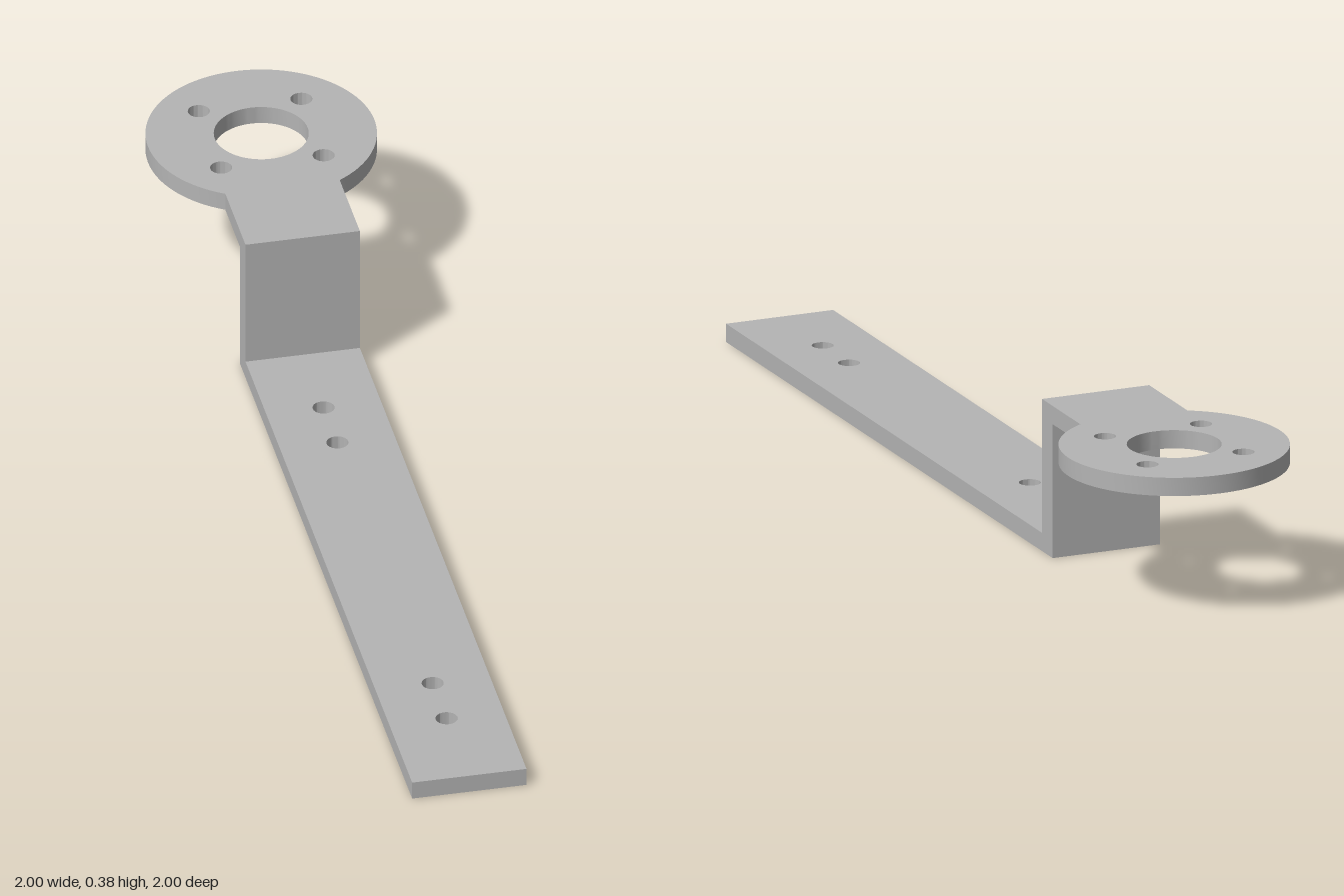
import * as THREE from 'three';
import { toCreasedNormals } from 'three/addons/utils/BufferGeometryUtils.js';

const THICK = 0.045;        // plate thickness
const HALF = 0.138;         // half width of the strip
const TOP = 0.375;          // overall height
const WALL_BACK = -0.631, WALL_FRONT = -0.569;
const STRIP_END = 1.276;
const RING_X = -1.028, RING_R = 0.273;
const BOLT_R = 0.026;

function addHole(shape, x, y, r) {
  const hole = new THREE.Path();
  hole.absarc(x, y, r, 0, Math.PI * 2, true);
  shape.holes.push(hole);
}

// Flat plate lying in the ground plane, its underside at height y
function plate(name, shape, y, material) {
  const geo = new THREE.ExtrudeGeometry(shape, { depth: THICK, bevelEnabled: false, curveSegments: 40 });
  geo.rotateX(-Math.PI / 2);
  geo.translate(0, y, 0);
  const mesh = new THREE.Mesh(toCreasedNormals(geo, 0.5), material);
  mesh.name = name;
  return mesh;
}

export function createModel() {
  const metal = new THREE.MeshStandardMaterial({ color: 0xb4b4b4 });
  metal.name = 'grey metal';

  // Long mounting strip with two pairs of bolt holes
  const strip = new THREE.Shape();
  strip.moveTo(WALL_BACK, -HALF);
  strip.lineTo(STRIP_END, -HALF);
  strip.lineTo(STRIP_END, HALF);
  strip.lineTo(WALL_BACK, HALF);
  strip.closePath();
  for (const x of [-0.338, -0.185, 0.87, 1.024]) addHole(strip, x, 0, BOLT_R);

  // Raised ring with a tab that reaches the upright
  const a = Math.asin(HALF / RING_R);
  const ring = new THREE.Shape();
  ring.moveTo(WALL_FRONT, -HALF);
  ring.lineTo(WALL_FRONT, HALF);
  ring.absarc(RING_X, 0, RING_R, a, Math.PI * 2 - a, false);
  ring.closePath();
  addHole(ring, RING_X, 0, 0.112);
  for (let i = 0; i < 4; i++) {
    const t = Math.PI / 4 + i * Math.PI / 2;
    addHole(ring, RING_X + 0.175 * Math.cos(t), 0.175 * Math.sin(t), BOLT_R);
  }

  // Upright joining the two plates
  const wallHeight = TOP - 2 * THICK;
  const upright = new THREE.Mesh(
    new THREE.BoxGeometry(WALL_FRONT - WALL_BACK, wallHeight, 2 * HALF), metal);
  upright.position.set((WALL_FRONT + WALL_BACK) / 2, THICK + wallHeight / 2, 0);
  upright.name = 'upright';

  // The bracket runs along the diagonal
  const bracket = new THREE.Group();
  bracket.name = 'bracket';
  bracket.rotation.y = -Math.PI / 4;
  bracket.add(
    plate('mountingStrip', strip, 0, metal),
    plate('ringPlate', ring, TOP - THICK, metal),
    upright);

  const model = new THREE.Group();
  model.name = 'offsetBracket';
  model.add(bracket);
  return model;
}
